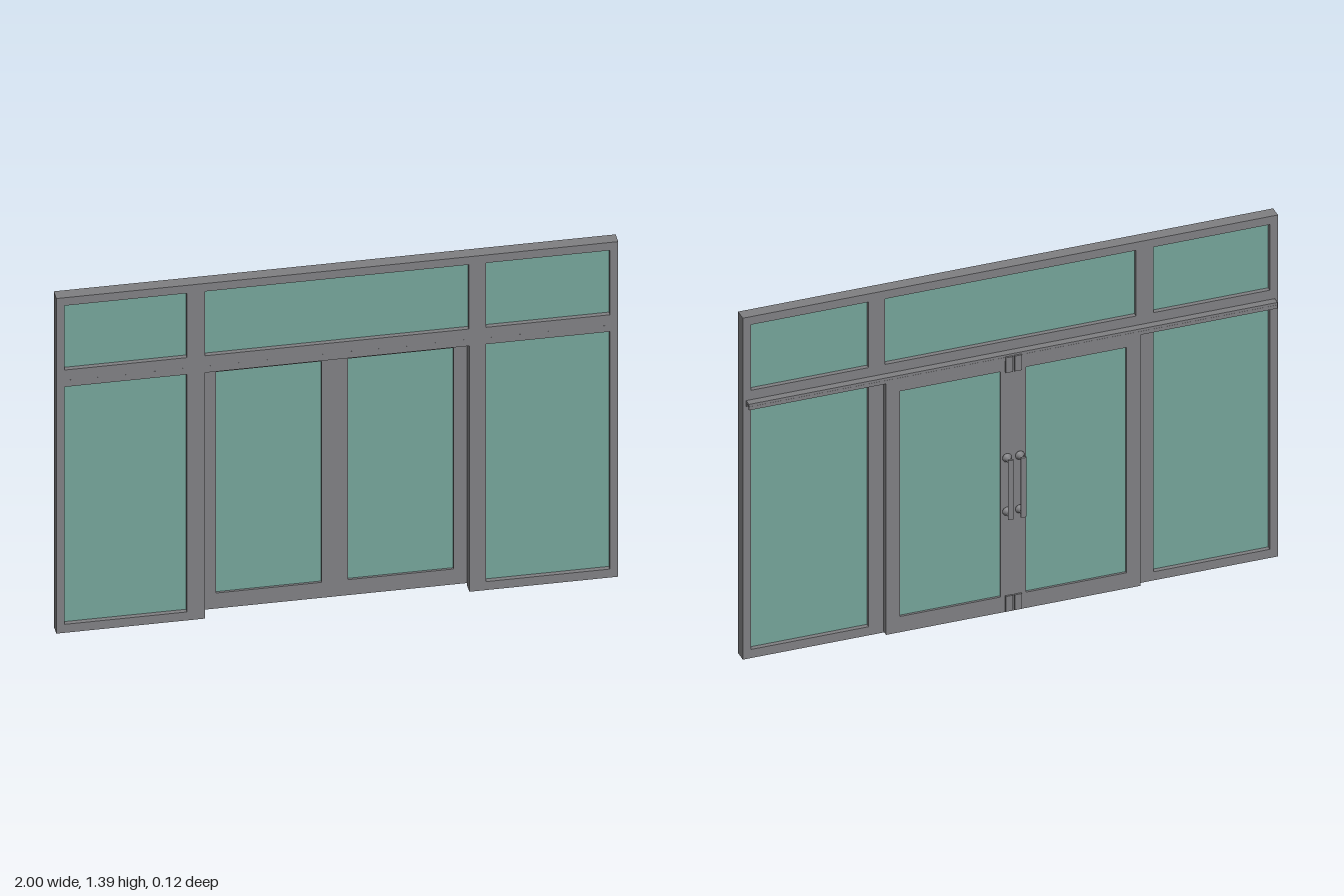
import * as THREE from 'three';

const frameGrey = new THREE.MeshStandardMaterial({ color: 0x7f7f82 });
frameGrey.name = 'frame grey';
const glassGreen = new THREE.MeshStandardMaterial({ color: 0x74a399 });
glassGreen.name = 'glass green';

function add(parent, name, geometry, material, x = 0, y = 0, z = 0) {
  const mesh = new THREE.Mesh(geometry, material);
  mesh.name = name;
  mesh.position.set(x, y, z);
  parent.add(mesh);
  return mesh;
}

// Box given by its limits on each axis
function block(parent, name, material, [x0, x1], [y0, y1], [z0, z1]) {
  return add(parent, name, new THREE.BoxGeometry(x1 - x0, y1 - y0, z1 - z0), material,
    (x0 + x1) / 2, (y0 + y1) / 2, (z0 + z1) / 2);
}

const rect = (x0, x1, y0, y1) =>
  [[x0, y0], [x1, y0], [x1, y1], [x0, y1]].map(([x, y]) => new THREE.Vector2(x, y));

// Flat outline with rectangular openings, extruded between two depths
function panel(parent, name, outline, openings, z0, z1) {
  const shape = new THREE.Shape(outline);
  for (const o of openings) shape.holes.push(new THREE.Path(rect(...o).reverse()));
  const geometry = new THREE.ExtrudeGeometry(shape, { depth: z1 - z0, bevelEnabled: false });
  return add(parent, name, geometry, frameGrey, 0, 0, z0);
}

function makeHandle(side) {
  const handle = new THREE.Group();
  handle.name = 'pullHandle';
  const x = side * 0.024;
  const bar = add(handle, 'handleBar', new THREE.CylinderGeometry(0.011, 0.011, 0.242, 16), frameGrey, x, 0.525, -0.054);
  bar.scale.z = 0.5;
  // Flared stand-offs
  const profile = [[0, 0], [0.017, 0], [0.017, 0.004], [0.012, 0.009], [0.009, 0.02], [0.009, 0.04], [0, 0.04]]
    .map(([r, h]) => new THREE.Vector2(r, h));
  for (const y of [0.416, 0.634]) {
    const post = add(handle, 'handlePost', new THREE.LatheGeometry(profile, 16), frameGrey, x, y, -0.015);
    post.rotation.x = -Math.PI / 2;
  }
  return handle;
}

export function createModel() {
  const model = new THREE.Group();
  model.name = 'glassEntrance';
  const front = 0.061, mid = 0.013, back = -0.015;

  // Fixed frame, notched at the bottom for the doorway
  const outline = [[-1, 0], [-0.47, 0], [-0.47, 1.02], [0.47, 1.02], [0.47, 0], [1, 0], [1, 1.39], [-1, 1.39]]
    .map(([x, y]) => new THREE.Vector2(x, y));
  const windows = [
    [-0.97, -0.535, 0.035, 1.02], [0.53, 0.97, 0.035, 1.02],
    [-0.97, -0.535, 1.09, 1.357], [-0.47, 0.468, 1.09, 1.357], [0.53, 0.97, 1.09, 1.357],
  ];
  panel(model, 'fixedFrame', outline, windows, mid, front);
  for (const [x0, x1, y0, y1] of windows)
    block(model, 'windowGlass', glassGreen, [x0, x1], [y0, y1], [0.031, 0.043]);

  // Pair of doors behind the doorway
  for (const side of [-1, 1]) {
    const door = new THREE.Group();
    door.name = side < 0 ? 'rightDoor' : 'leftDoor';
    model.add(door);
    const span = (a, b) => side < 0 ? [-b, -a] : [a, b];
    const opening = [...span(0.047, 0.423), 0.07, 0.987];
    panel(door, 'doorFrame', rect(...span(0, 0.475), 0.006, 1.04), [opening], back, mid);
    block(door, 'doorGlass', glassGreen, span(0.047, 0.423), [0.07, 0.987], [-0.006, 0.004]);
    // Lock plates at top and bottom
    for (const y of [0.01, 0.982])
      block(door, 'lockPlate', frameGrey, span(0.003, 0.03), [y, y + 0.062], [-0.022, back]);
    door.add(makeHandle(side));
  }

  // Sliding rail: a channel open at the bottom
  block(model, 'railTop', frameGrey, [-0.988, 0.988], [1.042, 1.052], [back, mid]);
  block(model, 'railLip', frameGrey, [-0.988, 0.988], [1.028, 1.042], [back - 0.0005, back + 0.006]);
  block(model, 'railBack', frameGrey, [-0.988, 0.988], [1.028, 1.042], [mid - 0.005, mid]);

  // Row of rail bolts showing on the front
  for (let i = 0; i < 20; i++) {
    const bolt = add(model, 'railBolt', new THREE.CylinderGeometry(0.003, 0.003, 0.002, 8), frameGrey,
      -0.95 + i * 0.1, 1.045, front);
    bolt.rotation.x = Math.PI / 2;
  }
  return model;
}
